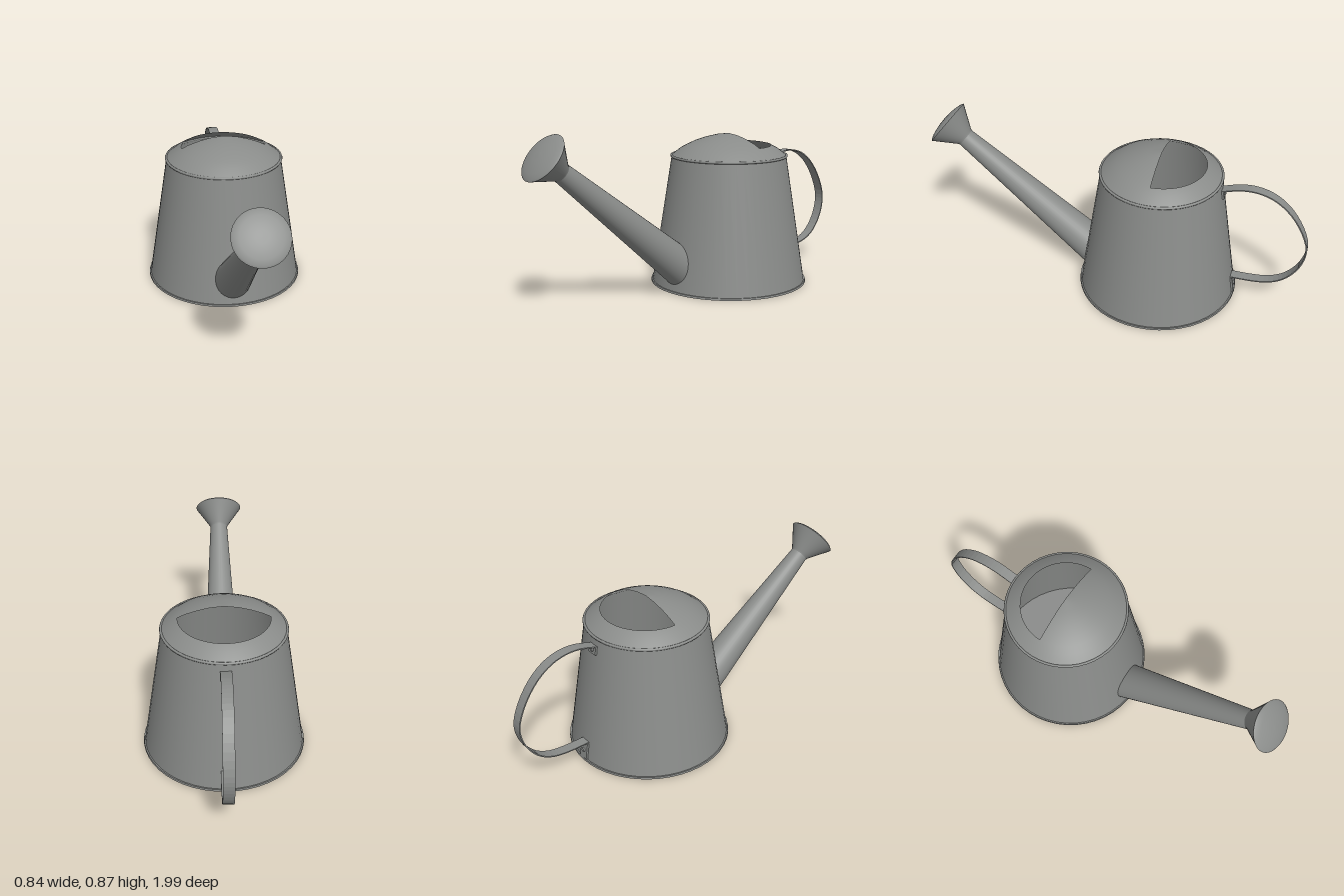
import * as THREE from 'three';

const BODY_Z = -0.235;
const wallRadius = (y) => 0.412 - 0.157 * y;

export function createModel() {
  const group = new THREE.Group();
  const metal = new THREE.MeshStandardMaterial({ color: 0x8a8c8a, side: THREE.DoubleSide });
  metal.name = 'grey metal';

  const add = (name, geometry, parent = group) => {
    const mesh = new THREE.Mesh(geometry, metal);
    mesh.name = name;
    parent.add(mesh);
    return mesh;
  };
  const vecs = (list) => list.map(([x, y]) => new THREE.Vector2(x, y));
  const lathe = (list, start = 0, length = Math.PI * 2, seg = 48) =>
    new THREE.LatheGeometry(vecs(list), seg, start, length);

  // Body: tapered wall, base plate and rolled rim
  const can = new THREE.Group();
  can.name = 'can';
  can.position.z = BODY_Z;
  group.add(can);
  add('bodyWall', lathe([[wallRadius(0), 0.005], [wallRadius(0.68), 0.68]]), can);
  add('basePlate', new THREE.CylinderGeometry(0.418, 0.42, 0.01, 48), can).position.y = 0.005;
  const rim = add('topRim', new THREE.TorusGeometry(0.306, 0.007, 8, 48), can);
  rim.rotation.x = Math.PI / 2;
  rim.position.y = 0.68;

  // Lid: full dome at the front, low collar round the filling hole at the back
  const collar = [[0.306, 0.682], [0.295, 0.69], [0.26, 0.717], [0.225, 0.736]];
  const crown = [[0.185, 0.755], [0.13, 0.774], [0.07, 0.789], [0, 0.797]];
  add('domedLid', lathe([...collar, ...crown], -Math.PI / 2, Math.PI, 24), can);
  add('lidCollar', lathe(collar, Math.PI / 2, Math.PI, 24), can);

  // Spout: tapered tube whose lower end is trimmed to the body wall
  const dir = new THREE.Vector3(0, 0.629, 0.777).normalize();
  const face = new THREE.Vector3(0, 0.7725, 0.9175);
  const turn = new THREE.Quaternion().setFromUnitVectors(new THREE.Vector3(0, 1, 0), dir);
  const length = 0.86;
  const spout = new THREE.CylinderGeometry(0.048, 0.096, length, 32, 1, true);
  spout.translate(0, -length / 2 - 0.115, 0);
  spout.applyQuaternion(turn);
  spout.translate(face.x, face.y, face.z);
  const pos = spout.attributes.position;
  const p = new THREE.Vector3();
  for (let i = 0; i < pos.count; i++) {
    p.fromBufferAttribute(pos, i);
    if (p.z > 0.5) continue;
    for (let k = 0; k < 20; k++) {
      const gap = Math.hypot(p.x, p.z - BODY_Z) - wallRadius(p.y);
      p.addScaledVector(dir, -gap);
    }
    pos.setXYZ(i, p.x, p.y, p.z);
  }
  add('spout', spout);

  // Sprinkler rose: flared cone and gently bulged face
  const rose = new THREE.Group();
  rose.name = 'sprinklerRose';
  rose.position.copy(face);
  rose.quaternion.copy(turn);
  group.add(rose);
  add('roseCone', lathe([[0.047, -0.125], [0.052, -0.112], [0.122, -0.008], [0.128, 0]], 0, Math.PI * 2, 40), rose);
  add('roseFace', lathe([[0.128, 0], [0.12, 0.007], [0.095, 0.015], [0.06, 0.022], [0.03, 0.025], [0, 0.026]],
    0, Math.PI * 2, 40), rose);

  // Handle: flat strap, drawn in side profile as (distance back, height)
  const curve = new THREE.CatmullRomCurve3([
    [0.545, 0.638], [0.6, 0.655], [0.65, 0.666], [0.72, 0.666], [0.8, 0.642], [0.88, 0.583], [0.95, 0.487],
    [0.99, 0.385], [0.99, 0.32], [0.96, 0.235], [0.9, 0.162], [0.83, 0.125], [0.75, 0.112], [0.63, 0.11],
  ].map(([x, y]) => new THREE.Vector3(x, y, 0)));
  const outer = [], inner = [];
  for (let i = 0; i <= 40; i++) {
    const c = curve.getPoint(i / 40), t = curve.getTangent(i / 40);
    outer.push(new THREE.Vector2(c.x - t.y * 0.003, c.y + t.x * 0.003));
    inner.unshift(new THREE.Vector2(c.x + t.y * 0.003, c.y - t.x * 0.003));
  }
  const strap = new THREE.ExtrudeGeometry(new THREE.Shape([...outer, ...inner]), { depth: 0.054, bevelEnabled: false });
  strap.translate(0, 0, -0.027);
  strap.rotateY(Math.PI / 2);
  add('handleStrap', strap);

  // Riveted tabs that fix the strap to the wall
  for (const [name, y, height] of [['upperTab', 0.62, 0.045], ['lowerTab', 0.058, 0.09]]) {
    const tab = new THREE.Group();
    tab.name = name;
    tab.position.set(0, y, BODY_Z - wallRadius(y) - 0.004);
    tab.rotation.x = Math.atan(0.157);
    group.add(tab);
    add(name + 'Plate', new THREE.BoxGeometry(0.054, height, 0.01), tab);
    const rivet = add(name + 'Rivet', new THREE.CylinderGeometry(0.009, 0.012, 0.008, 12), tab);
    rivet.rotation.x = -Math.PI / 2;
    rivet.position.z = -0.008;
  }

  return group;
}
